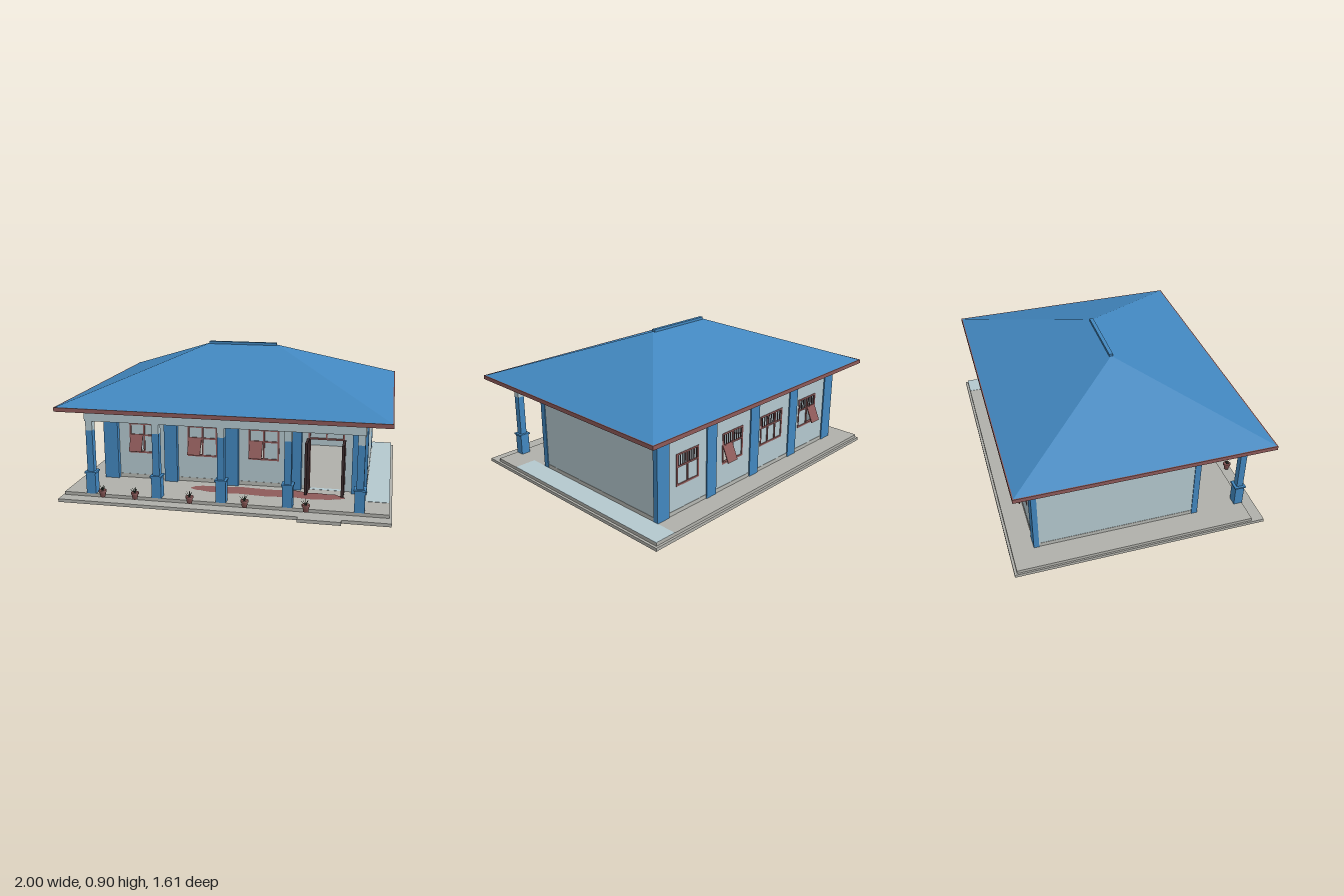
import * as THREE from 'three';

const mat = (name, color, side = THREE.FrontSide) => {
  const m = new THREE.MeshStandardMaterial({ color, side });
  m.name = name;
  return m;
};

export function createModel() {
  const blue = mat('blue paint', 0x4287bf);
  const pale = mat('pale wall', 0xb4c8ce);
  const rust = mat('rust red', 0x8e5a59);
  const concrete = mat('concrete', 0xb0b0aa);
  const wood = mat('dark wood', 0x3a2a2c);
  const leaf = mat('leaf green', 0x3b463b, THREE.DoubleSide);
  const dust = mat('dusty plinth', 0xb5b7b2);

  const model = new THREE.Group();
  const add = (name, geo, m, parent = model) => {
    const mesh = new THREE.Mesh(geo, m);
    mesh.name = name;
    parent.add(mesh);
    return mesh;
  };
  // Box given by its limits on each axis
  const box = (name, m, x0, x1, y0, y1, z0, z1, parent = model) => {
    const mesh = add(name, new THREE.BoxGeometry(x1 - x0, y1 - y0, z1 - z0), m, parent);
    mesh.position.set((x0 + x1) / 2, (y0 + y1) / 2, (z0 + z1) / 2);
    return mesh;
  };

  // Foundation, entrance step and side paving
  box('lowerSlab', concrete, -1, 1, 0, 0.02, -0.805, 0.77);
  box('upperSlab', concrete, -0.99, 0.985, 0.02, 0.04, -0.79, 0.69);
  box('entranceStep', concrete, 0.47, 0.72, 0, 0.02, 0.77, 0.805);
  box('sidePaving', pale, 0.845, 0.985, 0.04, 0.042, -0.79, 0.5);

  // Worn red patch on the porch floor
  const patch = new THREE.Shape();
  const n = 44;
  for (let i = 0; i < n; i++) {
    const a = (i / n) * Math.PI * 2;
    const wobble = 1 + 0.16 * Math.sin(i * 2.7) + 0.1 * Math.sin(i * 5.3);
    const c = Math.cos(a), s = Math.sin(a);
    const x = 0.24 + 0.48 * Math.sign(c) * Math.sqrt(Math.abs(c));
    const y = -0.475 + 0.06 * wobble * s;
    if (i) patch.lineTo(x, y); else patch.moveTo(x, y);
  }
  const worn = add('wornFloorPatch', new THREE.ShapeGeometry(patch), rust);
  worn.rotation.x = -Math.PI / 2;
  worn.position.y = 0.043;

  // Long walls with openings [x0, x1, y0, y1]
  const wall = (name, z, openings) => {
    const rect = (shape, x0, x1, y0, y1) => {
      shape.moveTo(x0, y0);
      shape.lineTo(x1, y0);
      shape.lineTo(x1, y1);
      shape.lineTo(x0, y1);
      shape.closePath();
      return shape;
    };
    const shape = rect(new THREE.Shape(), -0.84, 0.84, 0.04, 0.575);
    openings.forEach((o) => shape.holes.push(rect(new THREE.Path(), ...o)));
    add(name, new THREE.ExtrudeGeometry(shape, { depth: 0.03, bevelEnabled: false }), pale).position.z = z;
  };
  const frontWindows = [[-0.583, 0.195, -1], [-0.195, 0.195, -1], [0.2, 0.195, -1]];
  const backWindows = [[0.598, 0.185, 0], [0.205, 0.19, -1], [-0.173, 0.222, 0], [-0.56, 0.19, 1]];
  const hole = ([x, w]) => [x - w / 2, x + w / 2, 0.21, 0.41];
  wall('frontWall', 0.32, [...frontWindows.map(hole), [0.485, 0.695, 0.041, 0.45]]);
  wall('backWall', -0.65, backWindows.map(hole));
  for (const s of [-1, 1]) {
    const w = box('sideWall', pale, -0.015, 0.015, 0.04, 0.575, -0.62, 0.32);
    w.position.x = s * 0.825;
    const p = box('sidePlinth', dust, -0.001, 0.001, 0.04, 0.065, -0.62, 0.35);
    p.position.x = s * 0.841;
  }
  box('backPlinth', dust, -0.84, 0.84, 0.04, 0.065, -0.652, -0.65);
  box('frontPlinth', dust, -0.84, 0.48, 0.04, 0.065, 0.35, 0.352);
  box('lintelPatch', dust, 0.54, 0.64, 0.462, 0.485, 0.35, 0.352);

  // Casement windows; open is the side of the tilted pane
  const makeWindow = (x, w, open, back) => {
    const g = new THREE.Group();
    g.name = back ? 'backWindow' : 'frontWindow';
    const h = w / 2, t = 0.011, d = 0.008;
    for (const e of [-1, 1]) {
      const c = e * (h - t / 2);
      box('windowJamb', rust, c - t / 2, c + t / 2, 0.21, 0.41, -d, d, g);
      const y = 0.31 + e * (0.1 - t / 2);
      box('windowRail', rust, -h, h, y - t / 2, y + t / 2, -d, d, g);
      if (e !== open) box('lowerPane', pale, Math.min(0, e * h), Math.max(0, e * h), 0.215, 0.33, -0.002, 0.002, g);
    }
    const columns = w > 0.21 ? 3 : 2;
    for (let i = 1; i < columns; i++) {
      const c = -h + (w * i) / columns;
      box('mullion', rust, c - 0.005, c + 0.005, 0.21, 0.41, -d, d, g);
    }
    box('transom', rust, -h, h, 0.325, 0.335, -d, d, g);
    box('upperPane', pale, -h, h, 0.33, 0.405, -0.002, 0.002, g);
    if (back) {
      for (let i = 1; i < 10; i++) {
        const c = -h + (w * i) / 10;
        box('grilleBar', wood, c - 0.0025, c + 0.0025, 0.33, 0.405, -0.006, 0.006, g);
      }
    }
    if (open) {
      const hinge = new THREE.Group();
      hinge.name = 'openPane';
      box('tiltedPane', rust, -0.042, 0.042, -0.108, 0, -0.003, 0.003, hinge);
      hinge.position.set((open * w) / 4, 0.328, 0.006);
      hinge.rotation.x = -0.42;
      g.add(hinge);
    }
    g.position.set(x, 0, back ? -0.645 : 0.345);
    if (back) g.rotation.y = Math.PI;
    model.add(g);
  };
  frontWindows.forEach(([x, w, o]) => makeWindow(x, w, o, false));
  backWindows.forEach(([x, w, o]) => makeWindow(x, w, o, true));

  // Doorway with fanlight and two leaves standing open
  for (const x of [0.485, 0.695]) {
    box('doorJamb', rust, x - 0.006, x + 0.006, 0.04, 0.455, 0.325, 0.355);
    const s = x < 0.59 ? -1 : 1;
    box('doorLeaf', wood, x + s * 0.006 - 0.008, x + s * 0.006 + 0.008, 0.045, 0.37, 0.352, 0.475);
  }
  for (const y of [0.37, 0.45]) box('doorRail', rust, 0.48, 0.70, y - 0.005, y + 0.005, 0.325, 0.355);
  box('fanlightMullion', rust, 0.585, 0.595, 0.37, 0.45, 0.335, 0.352);
  box('fanlightPane', pale, 0.485, 0.695, 0.37, 0.45, 0.34, 0.345);

  // Wall pilasters and porch columns on the same five centres
  for (const i of [-2, -1, 0, 1, 2]) {
    const end = Math.abs(i) === 2;
    const x = end ? Math.sign(i) * 0.798 : i * 0.398;
    const h = end ? 0.047 : 0.042;
    box('frontPilaster', blue, x - h, x + h, 0.04, 0.51, 0.345, 0.383);
    box('backPilaster', blue, x - h, x + h, 0.04, 0.51, -0.658, -0.625);

    const c = end ? Math.sign(i) * 0.815 : x;
    const column = new THREE.Group();
    column.name = 'porchColumn';
    box('columnBase', blue, -0.03, 0.03, 0.04, 0.17, 0.635, 0.692, column);
    box('columnBaseCap', blue, -0.036, 0.036, 0.17, 0.18, 0.628, 0.699, column);
    box('columnShaft', blue, -0.021, 0.021, 0.18, 0.44, 0.644, 0.685, column);
    box('columnNeck', pale, -0.021, 0.021, 0.44, 0.5, 0.644, 0.685, column);
    column.position.x = c;
    model.add(column);
  }

  // Porch beams
  box('frontBeam', pale, -0.84, 0.84, 0.5, 0.575, 0.637, 0.692);
  for (const s of [-1, 1]) {
    box('sideBeam', pale, -0.02, 0.02, 0.48, 0.575, 0.35, 0.637).position.x = s * 0.82;
  }

  // Soffit, fascia and hipped roof
  box('soffit', pale, -0.975, 0.975, 0.57, 0.58, -0.765, 0.775);
  box('fascia', rust, -0.987, 0.987, 0.573, 0.598, -0.777, 0.787);
  const A = [-0.98, 0.598, 0.78], B = [0.98, 0.598, 0.78], C = [0.98, 0.598, -0.77], D = [-0.98, 0.598, -0.77];
  const L = [-0.225, 0.89, 0.005], R = [0.225, 0.89, 0.005];
  const faces = [A, B, R, A, R, L, C, D, L, C, L, R, B, C, R, D, A, L];
  const roof = new THREE.BufferGeometry();
  roof.setAttribute('position', new THREE.Float32BufferAttribute(faces.flat(), 3));
  roof.computeVertexNormals();
  add('hippedRoof', roof, blue);
  box('ridgeCap', blue, -0.225, 0.222, 0.88, 0.902, -0.007, 0.017);

  // Potted plants along the porch edge
  const potProfile = [[0, 0], [0.015, 0], [0.02, 0.032], [0.024, 0.032], [0.024, 0.043], [0.019, 0.043], [0, 0.038]]
    .map(([x, y]) => new THREE.Vector2(x, y));
  for (const x of [-0.725, -0.52, -0.18, 0.152, 0.512]) {
    const plant = new THREE.Group();
    plant.name = 'pottedPlant';
    add('pot', new THREE.LatheGeometry(potProfile, 12), rust, plant);
    for (let i = 0; i < 9; i++) {
      const blade = new THREE.ConeGeometry(0.005, 0.04, 4);
      blade.scale(1, 1, 0.4);
      blade.translate(0, 0.02, 0);
      const m = add('leafBlade', blade, leaf, plant);
      m.position.y = 0.036;
      m.rotation.order = 'YXZ';
      m.rotation.set(i ? 0.35 + (i % 3) * 0.22 : 0, i * 2.4, 0);
    }
    plant.position.set(x, 0.04, 0.73);
    model.add(plant);
  }
  return model;
}
